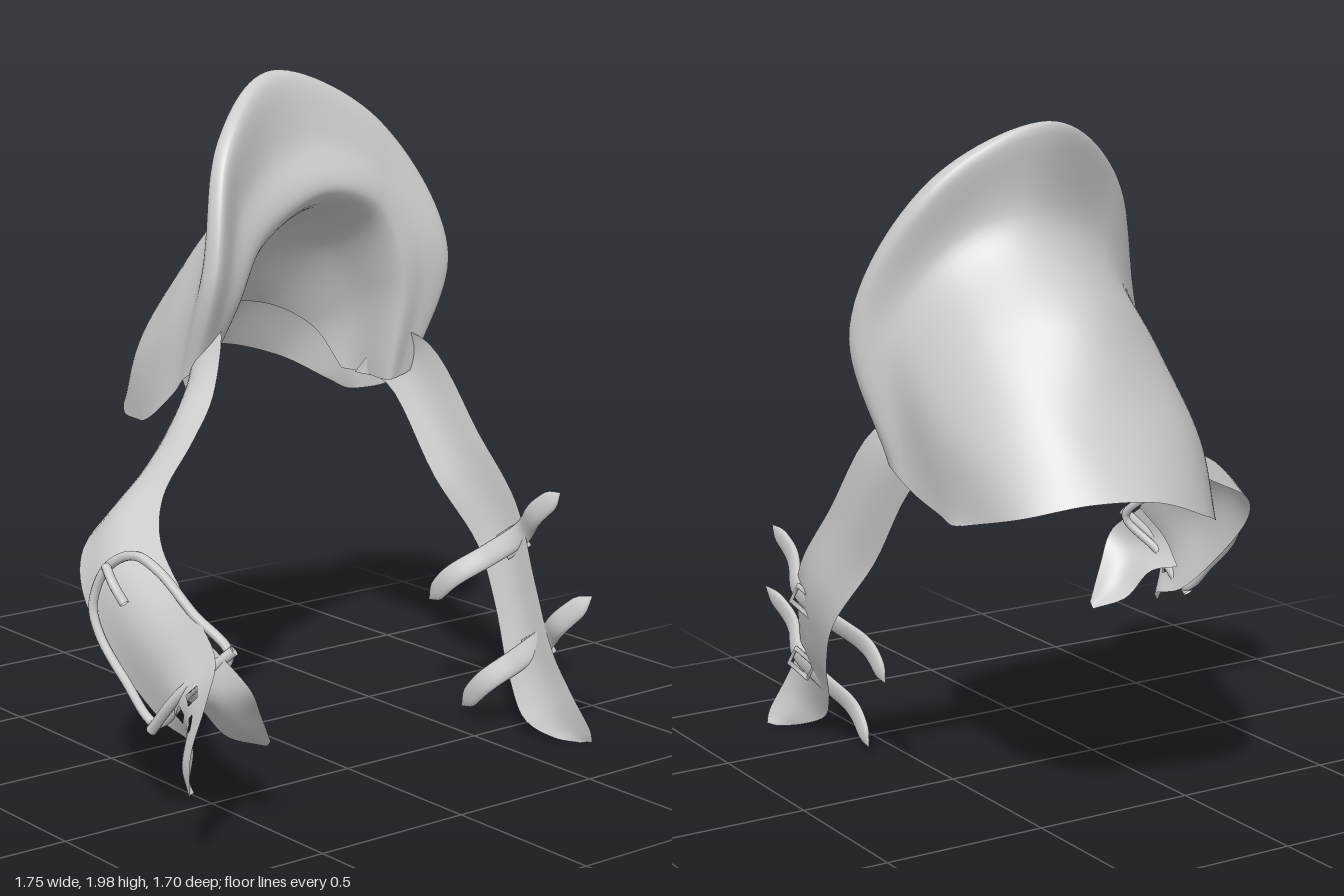
import * as THREE from 'three';
import { mergeVertices } from 'three/addons/utils/BufferGeometryUtils.js';

const material = new THREE.MeshStandardMaterial({ color: 0xcccccc, side: THREE.DoubleSide });
const V = (p) => new THREE.Vector3(...p);

function addMesh(group, name, geometry) {
  const mesh = new THREE.Mesh(geometry, material);
  mesh.name = name;
  group.add(mesh);
  return mesh;
}

// Smooth sheet through rows of control points; skip(i, j) leaves a cell open.
function loft(rows, nu, nv, closed = false, skip = () => false) {
  const curves = rows.map((r) => new THREE.CatmullRomCurve3(r, closed));
  const positions = [], index = [];
  for (let j = 0; j <= nv; j++) {
    const across = new THREE.CatmullRomCurve3(curves.map((c) => c.getPoint(j / nv)));
    for (let i = 0; i <= nu; i++) positions.push(...across.getPoint(i / nu).toArray());
  }
  for (let j = 0; j < nv; j++) {
    for (let i = 0; i < nu; i++) {
      if (skip(i, j)) continue;
      const a = j * (nu + 1) + i, b = a + nu + 1;
      index.push(a, b, a + 1, b, b + 1, a + 1);
    }
  }
  let g = new THREE.BufferGeometry();
  g.setAttribute('position', new THREE.Float32BufferAttribute(positions, 3));
  g.setIndex(index);
  g = mergeVertices(g, 1e-5);
  g.computeVertexNormals();
  return g;
}

// Strap from pairs of edge points, its middle bulged along the strap's normal.
function strap(edges, bulge, nu, skip) {
  const mids = edges.map(([a, b]) => V(a).lerp(V(b), 0.5));
  const rows = edges.map(([a, b], i) => {
    const A = V(a), B = V(b), width = A.distanceTo(B);
    const along = mids[Math.min(i + 1, mids.length - 1)].clone().sub(mids[Math.max(i - 1, 0)]);
    const normal = along.cross(A.clone().sub(B)).normalize();
    return [A, mids[i].clone().addScaledVector(normal, bulge * width), B];
  });
  return loft(rows, nu, 12, false, skip);
}

// Flat rounded band that follows a path, tapered at both ends.
function band(path, width, thickness) {
  const curve = new THREE.CatmullRomCurve3(path.map(V));
  const w = new THREE.Vector3(0.7, -0.7, 0);
  const rows = [];
  for (let i = 0; i <= 16; i++) {
    const t = i / 16, c = curve.getPoint(t);
    const s = Math.max(0.04, Math.pow(1 - Math.pow(Math.abs(2 * t - 1), 8), 0.5));
    const n = curve.getTangent(t).cross(w).normalize();
    rows.push(Array.from({ length: 8 }, (_, k) => {
      const a = (k / 8) * Math.PI * 2;
      return c.clone().addScaledVector(w, Math.cos(a) * width * s).addScaledVector(n, Math.sin(a) * thickness * s);
    }));
  }
  return loft(rows, 40, 16, true);
}

const tube = (path, radius, closed = false) => new THREE.TubeGeometry(
  new THREE.CatmullRomCurve3(path.map(V), closed), closed ? 80 : 16, radius, 8, closed);

export function createModel() {
  const model = new THREE.Group();
  model.name = 'shoulderGuard';

  // Outer shell: arches from the arm opening to the raised collar, front to back
  const outer = [
    [[-.48, .9, .045], [-.68, .89, -.03], [-.81, .94, -.15], [-.875, 1.02, -.36], [-.84, 1.03, -.55], [-.73, .99, -.7], [-.5, .93, -.75]],
    [[-.44, .91, .06], [-.57, 1.08, 0], [-.68, 1.18, -.15], [-.73, 1.22, -.37], [-.7, 1.2, -.58], [-.59, 1.11, -.72], [-.44, .92, -.75]],
    [[-.35, .95, .085], [-.36, 1.22, .04], [-.45, 1.42, -.13], [-.57, 1.48, -.38], [-.46, 1.43, -.62], [-.37, 1.24, -.75], [-.36, .93, -.74]],
    [[-.23, 1.04, .09], [-.16, 1.36, .06], [-.21, 1.62, -.1], [-.31, 1.72, -.4], [-.25, 1.65, -.62], [-.17, 1.4, -.77], [-.22, .97, -.75]],
  ];
  // Thick collar rim: outer and inner lip
  const rim = [
    [[-.17, 1.09, .1], [-.06, 1.42, .105], [-.15, 1.8, -.01], [-.295, 1.99, -.33], [-.24, 1.83, -.67], [-.08, 1.42, -.845], [-.15, 1.02, -.77]],
    [[-.13, 1.11, .09], [-.02, 1.42, .09], [-.1, 1.79, -.02], [-.245, 1.98, -.33], [-.17, 1.83, -.66], [-.03, 1.42, -.835], [-.11, 1.03, -.76]],
  ];
  // Inner face of the collar, neck edge and lining
  const inner = [
    [[-.12, 1.1, .07], [-.04, 1.37, .03], [-.09, 1.63, -.07], [-.18, 1.78, -.37], [-.12, 1.69, -.63], [-.05, 1.4, -.75], [-.12, 1.01, -.72]],
    [[-.14, 1.08, .05], [-.07, 1.31, -.03], [-.08, 1.5, -.14], [-.11, 1.62, -.41], [-.1, 1.56, -.6], [-.08, 1.35, -.68], [-.13, 1, -.68]],
    [[-.3, 1.06, .04], [-.33, 1.25, -.03], [-.38, 1.38, -.15], [-.45, 1.47, -.39], [-.4, 1.4, -.6], [-.33, 1.24, -.69], [-.3, 1.0, -.7]],
    [[-.38, 1.02, .03], [-.5, 1.13, -.04], [-.6, 1.18, -.16], [-.66, 1.21, -.38], [-.62, 1.19, -.58], [-.52, 1.12, -.68], [-.38, 1.0, -.69]],
  ];
  const shellRows = [...outer, ...rim, ...inner].map((row) => row.map(V));
  addMesh(model, 'shell', loft(shellRows, 90, 72));

  // Front strap with punched holes near its tip
  const frontEdges = [
    [[-.25, 1.27, -.09], [-.33, 1.08, .0]],
    [[-.16, 1.26, -.01], [-.25, 1.07, .05]],
    [[-.05, 1.23, .05], [-.17, 1.04, .1]],
    [[.04, 1.07, .15], [-.08, .91, .27]],
    [[.13, .97, .29], [-.01, .82, .42]],
    [[.26, .86, .49], [.1, .7, .66]],
    [[.4, .77, .6], [.2, .6, .73]],
    [[.57, .67, .65], [.35, .45, .73]],
    [[.73, .53, .66], [.52, .3, .69]],
    [[.83, .45, .76], [.65, .26, .68]],
    [[.87, .32, .845], [.75, .2, .76]],
    [[.86, .2, .84], [.81, .19, .79]],
  ];
  addMesh(model, 'frontStrap', strap(frontEdges, 0.12, 66,
    (i, j) => ([50, 51].includes(i) && [3, 4, 7, 8].includes(j)) || ([54, 55].includes(i) && [4, 7].includes(j))));
  // Loose end folded behind the front buckle
  addMesh(model, 'frontStrapTail', strap([
    [[.7, .55, .65], [.52, .38, .68]],
    [[.82, .45, .61], [.61, .35, .63]],
    [[.78, .35, .54], [.65, .26, .56]],
    [[.72, .245, .46], [.7, .225, .46]],
  ], 0.12, 16));

  // Front buckle: rounded frame, cross bar and prong
  const buckle = new THREE.Group();
  buckle.name = 'frontBuckle';
  model.add(buckle);
  addMesh(buckle, 'frame', tube([
    [.73, .52, .61], [.62, .62, .65], [.5, .72, .68], [.41, .75, .7], [.32, .7, .73],
    [.28, .59, .75], [.31, .51, .75], [.42, .4, .74], [.54, .3, .72], [.64, .41, .68],
  ], 0.014, true));
  addMesh(buckle, 'bar', tube([[.75, .54, .61], [.64, .41, .71], [.53, .28, .73]], 0.016));
  addMesh(buckle, 'prong', tube([[.33, .71, .74], [.38, .67, .75], [.42, .62, .74]], 0.014));

  // Back strap
  addMesh(model, 'backStrap', strap([
    [[-.14, 1.18, -.69], [-.3, 1.0, -.68]],
    [[-.04, 1.12, -.77], [-.18, .98, -.71]],
    [[.15, .85, -.82], [.03, .7, -.74]],
    [[.3, .66, -.84], [.17, .5, -.8]],
    [[.48, .45, -.76], [.3, .34, -.76]],
    [[.66, .28, -.67], [.48, .16, -.66]],
    [[.74, .16, -.68], [.6, .06, -.62]],
    [[.78, .05, -.72], [.69, .02, -.66]],
    [[.775, .015, -.73], [.745, .01, -.71]],
  ], -0.06, 48));

  // Two short cross bands behind the back strap, each with a small buckle
  const crossBands = [
    [[.08, .32, -.68], [.17, .41, -.69], [.26, .49, -.77], [.35, .57, -.825], [.43, .65, -.8], [.52, .73, -.82]],
    [[.32, .04, -.61], [.42, .14, -.61], [.5, .22, -.67], [.58, .3, -.715], [.66, .37, -.69], [.76, .47, -.73]],
  ];
  for (const path of crossBands) {
    addMesh(model, 'crossBand', band(path, 0.038, 0.014));
    const frame = addMesh(model, 'crossBandBuckle', new THREE.TorusGeometry(0.055, 0.008, 6, 4).rotateZ(Math.PI / 4));
    frame.position.copy(V(path[2]).lerp(V(path[3]), 0.6));
    frame.position.z -= 0.02;
    frame.rotation.set(-0.35, 0.35, Math.PI / 4);
  }
  return model;
}
